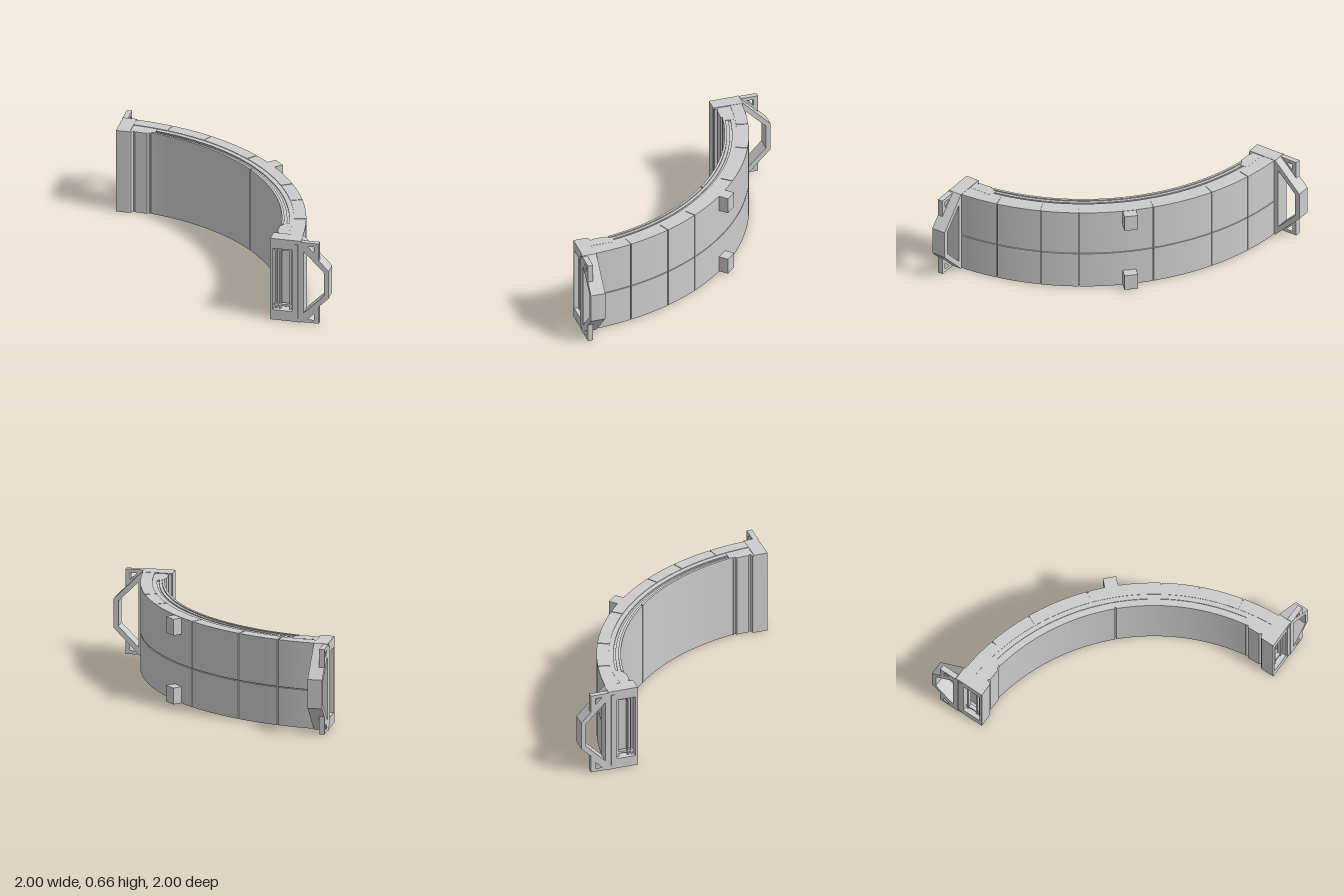
import * as THREE from 'three';
import { toCreasedNormals } from 'three/addons/utils/BufferGeometryUtils.js';

const H = 0.66, END = 0.06; // wall height, angle where the arc meets its end frames
const mat = new THREE.MeshStandardMaterial({ color: 0xcccccc });

function add(parent, name, geo) {
  const mesh = new THREE.Mesh(geo, mat);
  mesh.name = name;
  parent.add(mesh);
  return mesh;
}

const polygon = (pts) => new THREE.Shape(pts.map(([x, y]) => new THREE.Vector2(x, y)));

// Box given by its minimum and maximum corners
function box(parent, name, a, b) {
  const mesh = add(parent, name, new THREE.BoxGeometry(b[0] - a[0], b[1] - a[1], b[2] - a[2]));
  mesh.position.set((a[0] + b[0]) / 2, (a[1] + b[1]) / 2, (a[2] + b[2]) / 2);
  return mesh;
}

// Ring sector around the corner (-1, 1), standing between y0 and y1
function arcWall(parent, name, r0, r1, a0, a1, y0, y1) {
  const shape = new THREE.Shape();
  shape.absarc(0, 0, r1, a0, a1, false);
  shape.absarc(0, 0, r0, a1, a0, true);
  const segments = Math.max(4, Math.round((a1 - a0) * 30));
  const geo = new THREE.ExtrudeGeometry(shape, { depth: y1 - y0, bevelEnabled: false, curveSegments: segments });
  geo.rotateX(-Math.PI / 2);
  geo.translate(-1, y0, 1);
  return add(parent, name, toCreasedNormals(geo, 0.5));
}

// Upright plate with cut-outs, between z0 and z1
function plate(parent, name, outline, holes, z0, z1) {
  const shape = polygon(outline);
  shape.holes = holes.map(polygon);
  const geo = new THREE.ExtrudeGeometry(shape, { depth: z1 - z0, bevelEnabled: false });
  geo.translate(0, 0, z0);
  return add(parent, name, geo);
}

function buildEnd(name) {
  const end = new THREE.Group();
  end.name = name;

  // Recessed end frame with rods in the opening
  plate(end, 'endFrame',
    [[0.555, 0], [0.78, 0], [0.78, H], [0.555, H]],
    [[[0.575, 0.08], [0.72, 0.08], [0.72, 0.58], [0.575, 0.58]]], 0.885, 0.99);
  box(end, 'endRib', [0.735, 0.03, 0.98], [0.765, 0.63, 0.995]);
  for (const x of [0.585, 0.615, 0.695]) {
    box(end, 'endRod', [x, 0.08, 0.93], [x + 0.014, 0.58, 0.96]);
  }
  for (const y of [0.1, 0.555]) {
    box(end, 'endCrossbar', [0.575, y, 0.925], [0.72, y + 0.015, 0.955]);
  }

  // Stepped trim on the inner side, drawn in plan
  const plan = [[0.66, 0.89], [0.555, 0.89], [0.56, 0.875], [0.59, 0.865], [0.575, 0.85],
    [0.57, 0.755], [0.585, 0.745], [0.575, 0.73], [0.6, 0.7], [0.66, 0.7]];
  const trim = new THREE.ExtrudeGeometry(polygon(plan.map(([x, z]) => [x, -z])), { depth: H - 0.005, bevelEnabled: false });
  trim.rotateX(-Math.PI / 2);
  add(end, 'innerTrim', trim);

  // Outward coupling bracket: open handle and two corner gussets
  plate(end, 'bracketHandle',
    [[0.77, 0], [0.785, 0], [1, 0.22], [1, 0.44], [0.785, H], [0.77, H]],
    [[[0.81, 0.08], [0.963, 0.235], [0.963, 0.425], [0.81, 0.58]]], 0.885, 0.995);
  for (const flip of [false, true]) {
    const fy = ([x, y]) => [x, flip ? H - y : y];
    plate(end, 'bracketGusset',
      [[0.785, 0.655], [0.925, 0.515], [0.925, 0.655]].map(fy),
      [[[0.838, 0.628], [0.89, 0.576], [0.89, 0.628]].map(fy)], 0.955, 0.995);
  }
  return end;
}

export function createModel() {
  const model = new THREE.Group();
  model.name = 'curvedWallSegment';
  const last = Math.PI / 2 - END, mid = Math.PI / 4;

  // Structural core and top ledges
  arcWall(model, 'wallCore', 1.655, 1.768, END, last, 0.008, H - 0.006);
  arcWall(model, 'ledge', 1.635, 1.66, END, last, 0.014, H - 0.014);
  arcWall(model, 'ledge', 1.615, 1.64, END, last, 0.006, H - 0.008);

  // Smooth inner lining in two halves
  arcWall(model, 'innerLining', 1.6, 1.618, 0.17, mid - 0.003, 0, H);
  arcWall(model, 'innerLining', 1.6, 1.618, mid + 0.003, Math.PI / 2 - 0.17, 0, H);

  // Outer cladding panels with narrow joints
  const joints = [END, 0.227, 0.416, 0.576, 0.888, 1.155, 1.344, last];
  for (let i = 0; i < joints.length - 1; i++) {
    for (const [y0, y1] of [[0.003, 0.293], [0.299, H - 0.002]]) {
      arcWall(model, 'outerPanel', 1.69, 1.78, joints[i] + 0.002, joints[i + 1] - 0.002, y0, y1);
    }
  }

  // Lugs on the middle of the outer face
  for (const y of [0.067, 0.593]) {
    const lug = add(model, 'outerLug', new THREE.BoxGeometry(0.105, 0.125, 0.1));
    lug.position.set(-1 + 1.8 * Math.cos(mid), y, 1 - 1.8 * Math.sin(mid));
    lug.rotation.y = mid;
  }

  // Matching ends, mirrored across the diagonal
  model.add(buildEnd('frontEnd'));
  const backEnd = buildEnd('backEnd');
  backEnd.rotation.y = Math.PI / 2;
  backEnd.scale.z = -1;
  model.add(backEnd);
  return model;
}
